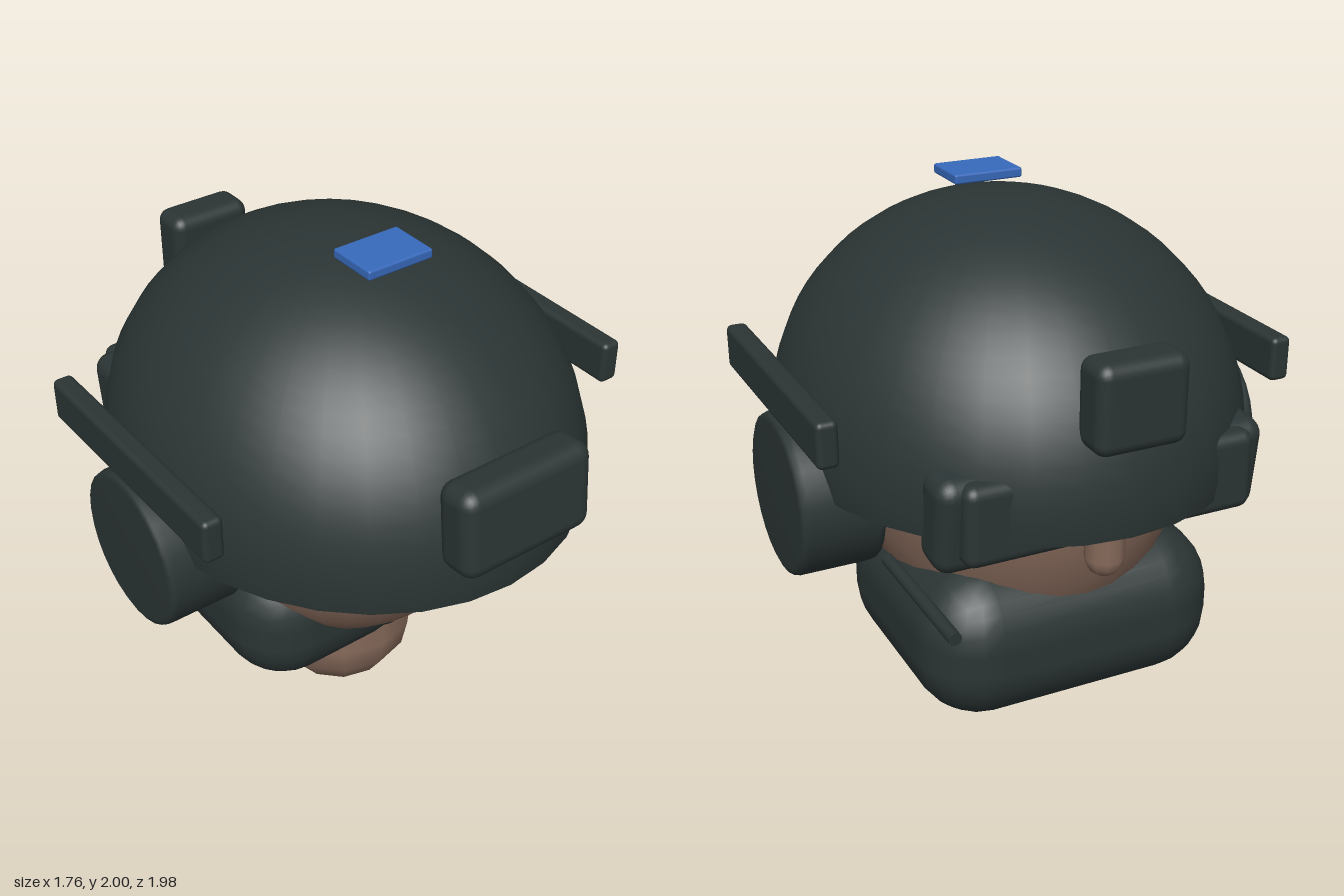
import * as THREE from 'three';
import { RoundedBoxGeometry } from 'three/addons/geometries/RoundedBoxGeometry.js';

export function createModel() {
  const model = new THREE.Group();
  model.name = 'helmetedHead';

  const gear = new THREE.MeshStandardMaterial({ color: 0x2b3434 });
  gear.name = 'dark gear';
  const shell = new THREE.MeshStandardMaterial({ color: 0x2b3434, side: THREE.DoubleSide });
  shell.name = 'dark shell';
  const skin = new THREE.MeshStandardMaterial({ color: 0x86695a });
  skin.name = 'skin';
  const blue = new THREE.MeshStandardMaterial({ color: 0x3769bb });
  blue.name = 'blue patch';

  const add = (name, geometry, material, x, y, z) => {
    const mesh = new THREE.Mesh(geometry, material);
    mesh.name = name;
    mesh.position.set(x, y, z);
    model.add(mesh);
    return mesh;
  };
  const block = (name, size, radius, pos, material = gear, segments = 3) =>
    add(name, new RoundedBoxGeometry(...size, segments, radius), material, ...pos);

  // Head, neck and nose (the face looks towards -z)
  add('head', new THREE.SphereGeometry(1, 32, 24), skin, 0, 1.12, -0.07).scale.set(0.59, 0.77, 0.68);
  add('neck', new THREE.CapsuleGeometry(0.295, 0.2, 4, 12), skin, 0, 0.395, -0.045);
  add('nose', new THREE.CapsuleGeometry(0.068, 0.14, 4, 10), skin, 0, 0.998, -0.765);

  // Open dome, cut level just below its widest ring
  const ry = 0.79, domeY = 1.17, rimY = 1.08;
  const dome = new THREE.SphereGeometry(1, 32, 20, 0, Math.PI * 2, 0, Math.acos((rimY - domeY) / ry));
  add('helmetShell', dome, shell, 0, domeY, -0.015).scale.set(0.82, ry, 0.93);

  // Face mask wrapping the jaw
  block('faceMask', [1.12, 0.56, 0.98], 0.24, [0, 0.55, -0.21]);

  // Goggles tucked below the brow
  block('goggleFrame', [1.18, 0.34, 0.18], 0.06, [0, 1.145, -0.69]).rotation.x = -0.12;
  block('goggleLens', [1.04, 0.28, 0.14], 0.04, [0, 1.16, -0.765]);

  // Pouch and mount on the two ends of the helmet
  block('pouch', [0.52, 0.32, 0.165], 0.055, [0, 1.41, 0.897]).rotation.x = -0.1;
  block('shroud', [0.32, 0.3, 0.16], 0.045, [0, 1.54, -0.912]);

  // Side rails and ear cups
  const cupProfile = [[0, -0.15], [0.26, -0.15], [0.28, -0.142], [0.287, -0.12],
    [0.287, 0.12], [0.28, 0.142], [0.26, 0.15], [0, 0.15]].map(p => new THREE.Vector2(...p));
  for (const [side, s] of [['left', 1], ['right', -1]]) {
    block(side + 'Rail', [0.075, 0.16, 0.98], 0.02, [s * 0.836, 1.38, -0.02]);
    add(side + 'EarCup', new THREE.LatheGeometry(cupProfile, 28), gear, s * 0.73, 1.015, -0.045)
      .rotation.z = Math.PI / 2;
  }

  // Microphone boom on the left cheek
  add('microphoneBoom', new THREE.CylinderGeometry(0.024, 0.024, 0.585, 12), gear, 0.52, 0.728, -0.438)
    .rotation.x = Math.PI / 2;

  // Patch floating on the crown
  block('crownPatch', [0.255, 0.035, 0.19], 0.008, [0, 1.982, 0.205], blue, 2);

  return model;
}
